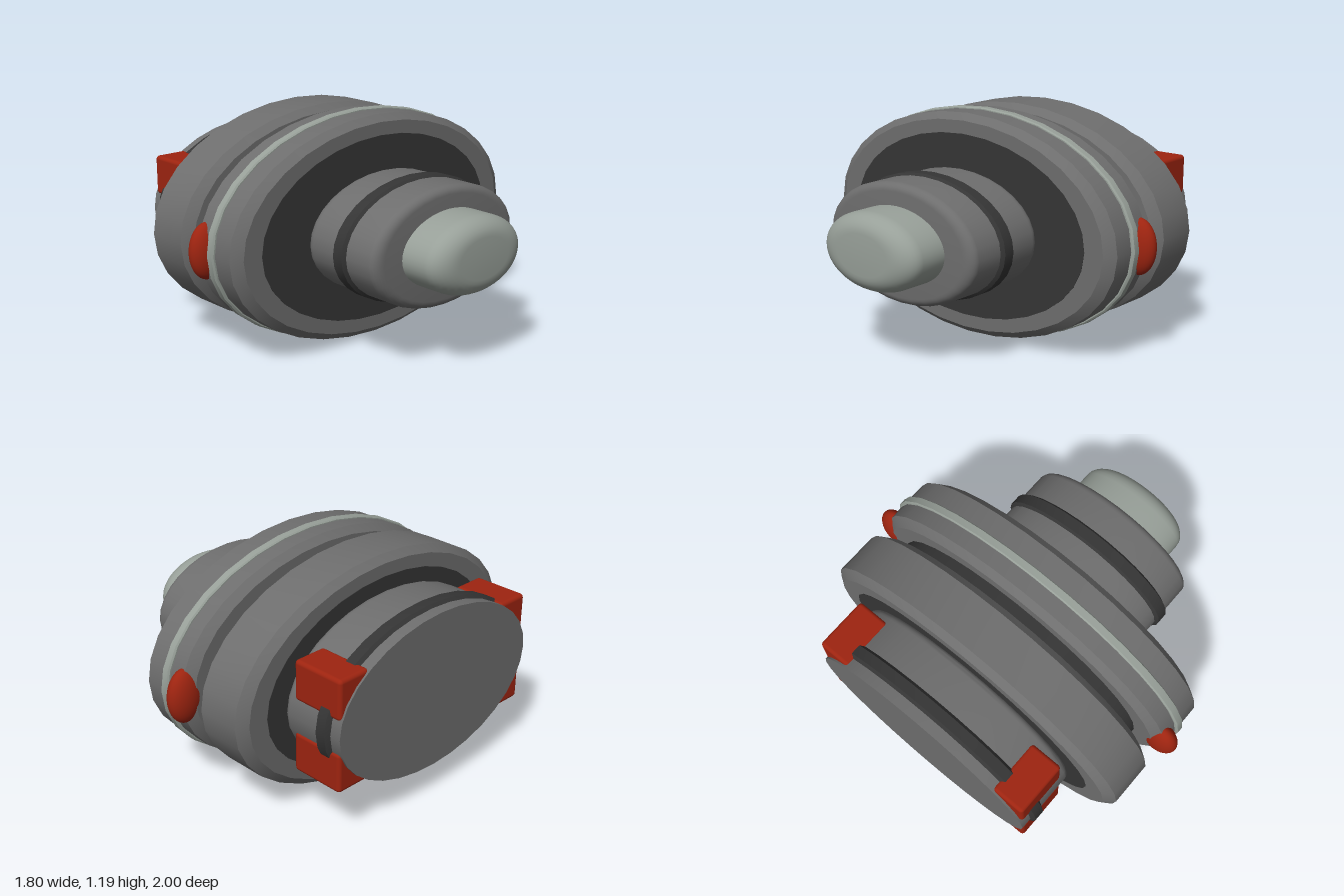
import * as THREE from 'three';
import { toCreasedNormals } from 'three/addons/utils/BufferGeometryUtils.js';
import { RoundedBoxGeometry } from 'three/addons/geometries/RoundedBoxGeometry.js';

const CENTRE_Y = 0.595; // height of the long axis
const WIDEN = 1.61;     // every round section is an ellipse, wider in z

const mat = (name, color) => {
  const m = new THREE.MeshStandardMaterial({ color });
  m.name = name;
  return m;
};

// Elliptical body turned about the x axis from [x, radius] pairs
function turned(name, profile, material, segments = 32) {
  const pts = profile.map(([x, r]) => new THREE.Vector2(r, x));
  const geo = new THREE.LatheGeometry(pts, segments);
  geo.rotateZ(-Math.PI / 2);
  geo.scale(1, 1, WIDEN);
  const mesh = new THREE.Mesh(toCreasedNormals(geo, 0.55), material);
  mesh.name = name;
  mesh.position.y = CENTRE_Y;
  return mesh;
}

// Closed drum with bevelled or rounded ends; bevels are [length, depth]
function drum(x0, x1, r, [l0, d0] = [0, 0], [l1, d1] = [0, 0], steps = 1) {
  const p = [[x0, 0]];
  for (let i = 0; i <= (l0 ? steps : 0); i++) {
    const a = (i / steps) * Math.PI / 2;
    p.push([x0 + l0 * (1 - Math.cos(a)), r - d0 * (1 - Math.sin(a))]);
  }
  for (let i = l1 ? 0 : steps; i <= steps; i++) {
    const a = (i / steps) * Math.PI / 2;
    p.push([x1 - l1 * (1 - Math.sin(a)), r - d1 * (1 - Math.cos(a))]);
  }
  p.push([x1, 0]);
  return p;
}

export function createModel() {
  const grey = mat('mid grey', 0x6e6e6e);
  const dark = mat('dark grey', 0x353535);
  const pale = mat('pale grey', 0x98a099);
  const red = mat('red', 0x9e2410);
  const model = new THREE.Group();
  model.name = 'ovalDevice';

  model.add(
    // Rear section
    turned('rearDrum', drum(-0.9, -0.53, 0.415, [0, 0], [0.04, 0.035], 6), grey),
    turned('rearBand', drum(-0.84, -0.755, 0.43, [0.015, 0.015], [0.015, 0.015]), dark),
    // Two large discs on a dark core, with a pale ring round the front one
    turned('core', drum(-0.537, 0.174, 0.48), dark),
    turned('rearDisc', drum(-0.535, -0.226, 0.583, [0.037, 0.035], [0.037, 0.035]), grey),
    turned('frontDisc', drum(-0.15, 0.172, 0.583, [0.037, 0.035], [0.037, 0.035]), grey),
    turned('paleRing', drum(-0.026, 0.021, 0.594, [0.006, 0.006], [0.006, 0.006]), pale),
    // Barrel, its band and the end cap
    turned('barrel', drum(0.165, 0.655, 0.306, [0.05, 0.03], [0.045, 0.04], 6), grey),
    turned('barrelBand', drum(0.373, 0.457, 0.318, [0.012, 0.012], [0.012, 0.012]), dark),
    turned('endCap', drum(0.64, 0.897, 0.195, [0, 0], [0.1, 0.09], 8), pale, 48)
  );

  for (const side of [-1, 1]) {
    // Oval buttons on the flanks
    const button = new THREE.Mesh(new THREE.SphereGeometry(1, 32, 20), red);
    button.name = side > 0 ? 'frontButton' : 'backButton';
    button.scale.set(0.062, 0.145, 0.1);
    button.position.set(-0.095, CENTRE_Y, side * 0.9);
    model.add(button);

    // Upper and lower clamp blocks at the rear
    for (const up of [-1, 1]) {
      const block = new THREE.Mesh(new RoundedBoxGeometry(0.295, 0.21, 0.186, 3, 0.02), red);
      block.name = up > 0 ? 'upperClamp' : 'lowerClamp';
      block.position.set(-0.742, CENTRE_Y + up * 0.19, side * 0.565);
      model.add(block);
    }
  }
  return model;
}
